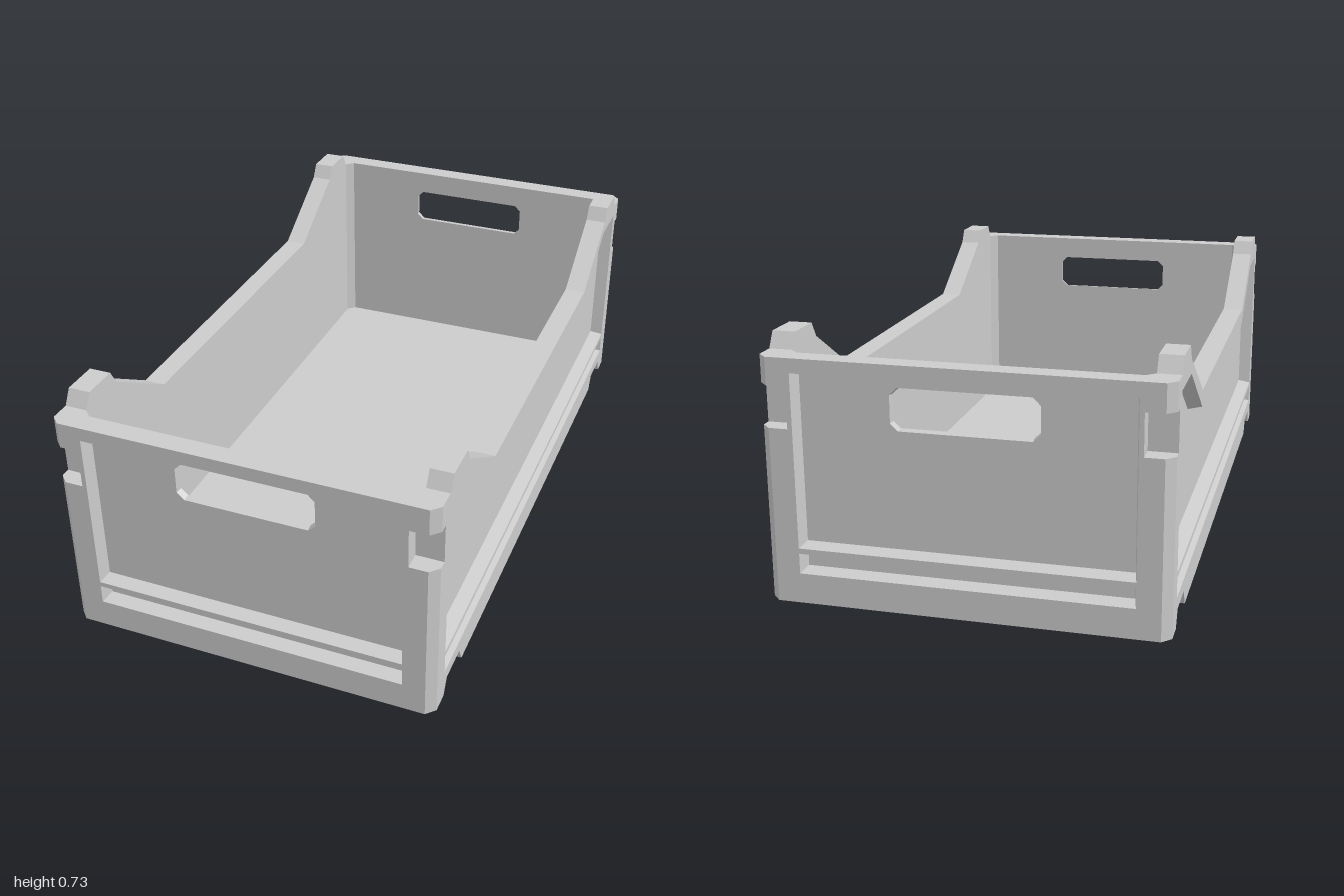
import * as THREE from 'three';
import { mergeGeometries } from 'three/addons/utils/BufferGeometryUtils.js';

const W = 0.548, L = 1, H = 0.682;
const END_T = 0.06, SIDE_T = 0.064, DEPTH = 0.04, BEVEL = 0.009;
const IN_X = W - SIDE_T, IN_Z = L - END_T, POST_X = 0.46, POST_Z = 0.917;

// Mirror a right-hand run of points into a closed counter-clockwise outline
const sym = (half) => [...half, ...half.slice().reverse().map(([u, v]) => [-u, v])];
const rect = (u, v0, v1) => sym([[u, v0], [u, v1]]);
const toShape = (pts) => new THREE.Shape(pts.map(([u, v]) => new THREE.Vector2(u, v)));

// Move every edge of a counter-clockwise outline inward by d
function inset(pts, d) {
  const n = pts.length;
  return pts.map(([u, v], i) => {
    const [pu, pv] = pts[(i + n - 1) % n], [qu, qv] = pts[(i + 1) % n];
    const a = new THREE.Vector2(u - pu, v - pv).normalize();
    const b = new THREE.Vector2(qu - u, qv - v).normalize();
    const k = d / (1 + a.dot(b));
    return [u - (a.y + b.y) * k, v + (a.x + b.x) * k];
  });
}

// Flat face with holes at height w
function face(outline, holes, w) {
  const shape = toShape(outline);
  shape.holes = holes.map(toShape);
  const g = new THREE.ShapeGeometry(shape).toNonIndexed();
  g.deleteAttribute('uv');
  return g.translate(0, 0, w);
}

// Band of quads from loop a (low) to loop b (high); inward turns it to face the middle
function band(a, wa, b, wb, inward) {
  const pos = [];
  a.forEach((p, i) => {
    const j = (i + 1) % a.length;
    const q = [[...p, wa], [...a[j], wa], [...b[j], wb], [...b[i], wb]];
    const order = inward ? [0, 2, 1, 0, 3, 2] : [0, 1, 2, 0, 2, 3];
    order.forEach((k) => pos.push(...q[k]));
  });
  const g = new THREE.BufferGeometry();
  g.setAttribute('position', new THREE.Float32BufferAttribute(pos, 3));
  g.computeVertexNormals();
  return g;
}

// Wall with bevelled recesses outside; the first recess may hold a tapered through hole
function wallGeometry(outline, thickness, recesses, hole) {
  const low = thickness - DEPTH;
  const holeBack = hole && inset(hole, 0.003);
  const parts = [
    face(outline, recesses, thickness),
    face(outline, hole ? [holeBack] : [], 0).rotateY(Math.PI),
    band(outline, 0, outline, thickness, false),
  ];
  recesses.forEach((r, i) => {
    const inner = inset(r, BEVEL);
    parts.push(band(inner, low, r, thickness, true), face(inner, hole && i === 0 ? [hole] : [], low));
  });
  if (hole) parts.push(band(holeBack, 0, hole, low, true));
  return mergeGeometries(parts);
}

export function createModel() {
  const group = new THREE.Group();
  const material = new THREE.MeshStandardMaterial({ color: 0xcccccc, flatShading: true });
  const add = (geometry, name, parent = group) => {
    const mesh = new THREE.Mesh(geometry, material);
    mesh.name = name;
    parent.add(mesh);
    return mesh;
  };

  // End walls with hand holes
  const endWall = wallGeometry(
    rect(POST_X, 0, H), END_T,
    [rect(0.457, 0.157, 0.642), rect(0.457, 0.085, 0.142)],
    sym([[0.18, 0.494], [0.201, 0.514], [0.201, 0.59], [0.18, 0.611]])
  ).translate(0, 0, IN_Z);
  add(endWall, 'frontWall');
  add(endWall, 'backWall').rotation.y = Math.PI;

  // Long walls with dipped rim, stacking lugs and foot notches
  const sideWall = wallGeometry(
    sym([[0.76, 0], [0.785, 0.047], [0.892, 0.047], [POST_Z, 0],
      [POST_Z, H], [0.892, 0.725], [0.785, 0.725], [0.76, H], [0.515, 0.531]]), SIDE_T,
    [sym([[0.914, 0.157], [0.914, 0.642], [0.757, 0.642], [0.515, 0.482]]), rect(0.914, 0.085, 0.142)]
  ).translate(0, 0, IN_X);
  add(sideWall, 'leftWall').rotation.y = Math.PI / 2;
  add(sideWall, 'rightWall').rotation.y = -Math.PI / 2;

  // Corner posts: chamfered, with a square bite near the top
  const inside = [[W, POST_Z], [IN_X, POST_Z], [POST_X, IN_Z], [POST_X, L]];
  const full = [...inside, [0.523, L], [W, 0.975]];
  const bitten = [...inside, [0.47, L], [0.47, 0.948], [W, 0.948]];
  const layers = [[full, 0, 0.49], [bitten, 0.49, 0.605], [full, 0.605, H]];
  for (const sx of [1, -1]) for (const sz of [1, -1]) {
    const post = new THREE.Group();
    post.name = (sz > 0 ? 'front' : 'back') + (sx > 0 ? 'Left' : 'Right') + 'Post';
    group.add(post);
    layers.forEach(([pts, y0, y1], i) => {
      const shape = toShape(pts.map(([x, z]) => [sx * x, -sz * z]));
      const g = new THREE.ExtrudeGeometry(shape, { depth: y1 - y0, bevelEnabled: false });
      add(g.rotateX(-Math.PI / 2).translate(0, y0, 0), ['postBase', 'postNotch', 'postTop'][i], post);
    });
  }

  // Thin floor with two stacking grooves across its underside
  const floor = new THREE.ExtrudeGeometry(
    toShape(sym([[0.76, 0], [0.785, 0.047], [0.892, 0.047], [POST_Z, 0], [IN_Z, 0], [IN_Z, 0.06]])),
    { depth: 2 * IN_X, bevelEnabled: false }
  );
  add(floor.rotateY(Math.PI / 2).translate(-IN_X, 0, 0), 'floor');

  return group;
}
